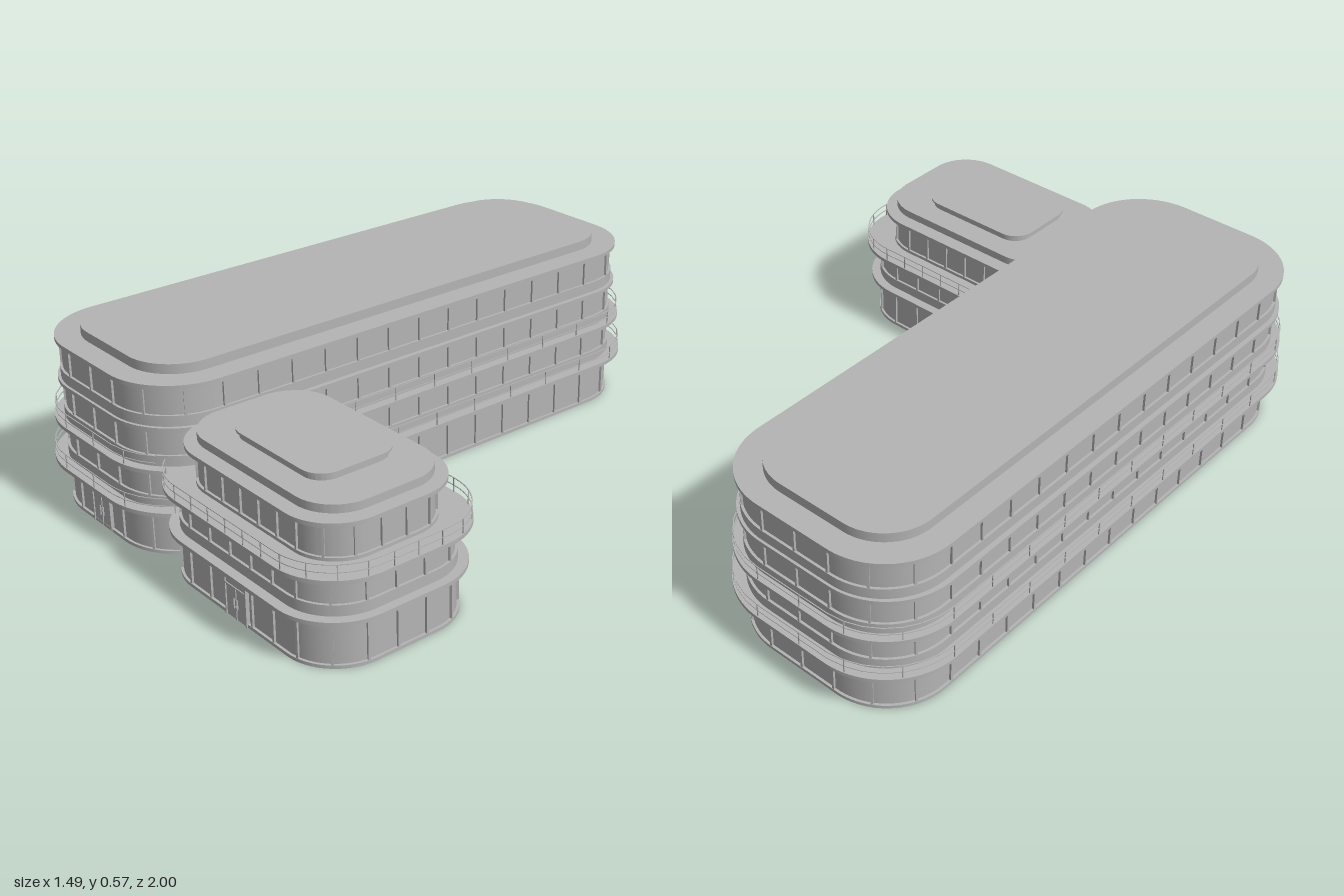
import * as THREE from 'three';
import { toCreasedNormals } from 'three/addons/utils/BufferGeometryUtils.js';

const concrete = new THREE.MeshStandardMaterial({ color: 0xb4b4b4 });
concrete.name = 'grey concrete';

// Rounded rectangle, given as half sizes and corner radius
function outline(a, b, r, PathType = THREE.Shape) {
  const p = new PathType();
  p.moveTo(-a + r, -b);
  p.lineTo(a - r, -b);
  p.absarc(a - r, -b + r, r, -Math.PI / 2, 0);
  p.lineTo(a, b - r);
  p.absarc(a - r, b - r, r, 0, Math.PI / 2);
  p.lineTo(-a + r, b);
  p.absarc(-a + r, b - r, r, Math.PI / 2, Math.PI);
  p.lineTo(-a, -b + r);
  p.absarc(-a + r, -b + r, r, Math.PI, Math.PI * 1.5);
  return p;
}

// Solid rounded block from y0 to y1
function block(group, name, [a, b, r], y0, y1) {
  let g = new THREE.ExtrudeGeometry(outline(a, b, r), { depth: y1 - y0, bevelEnabled: false, curveSegments: 12 });
  g.rotateX(-Math.PI / 2);
  g = toCreasedNormals(g, 0.4);
  const m = new THREE.Mesh(g, concrete);
  m.name = name;
  m.position.y = y0;
  group.add(m);
}

function box(group, name, w, h, d, x, y, z, turn = 0) {
  const m = new THREE.Mesh(new THREE.BoxGeometry(w, h, d), concrete);
  m.name = name;
  m.position.set(x, y, z);
  m.rotation.y = turn;
  group.add(m);
}

const inset = ([a, b, r], d) => [a - d, b - d, r - d];

// Evenly spaced points round an outline, with the wall direction at each
function walk(size, count) {
  const path = outline(...size);
  return Array.from({ length: count }, (_, i) => {
    const p = path.getPointAt(i / count), t = path.getTangentAt(i / count);
    return { x: p.x, z: -p.y, turn: Math.atan2(t.y, t.x) };
  });
}

// Floor slab with a slightly recessed soffit
function slab(group, size, y0, y1) {
  block(group, 'slab', size, y0 + 0.005, y1);
  block(group, 'soffit', inset(size, 0.006), y0, y0 + 0.005);
}

// One storey: glazed wall, sill and head bands, mullions
function storey(group, size, y0, y1, sill, bays) {
  block(group, 'wall', inset(size, 0.008), y0, y1);
  block(group, 'sillBand', size, y0, y0 + sill);
  block(group, 'headBand', inset(size, 0.003), y1 - 0.008, y1);
  for (const p of walk(inset(size, 0.006), bays))
    box(group, 'mullion', 0.007, y1 - y0, 0.01, p.x, (y0 + y1) / 2, p.z, p.turn);
}

// Open railing, left out where the other building stands
function railing(group, size, y, blocked) {
  const n = 96, h = 0.045, pts = walk(inset(size, 0.004), n);
  pts.forEach((p, i) => {
    const q = pts[(i + 1) % n];
    if (blocked(p.x + group.position.x, p.z + group.position.z)) return;
    if (i % 3 === 0) box(group, 'railPost', 0.003, h, 0.003, p.x, y + h / 2, p.z, p.turn);
    if (blocked(q.x + group.position.x, q.z + group.position.z)) return;
    const dx = q.x - p.x, dz = q.z - p.z, len = Math.hypot(dx, dz);
    for (const k of [0.5, 1])
      box(group, 'handrail', len, 0.002, 0.003, (p.x + q.x) / 2, y + h * k - 0.001, (p.z + q.z) / 2, Math.atan2(-dz, dx));
  });
}

// Double door with frame, transom and handles
function door(group, x, z) {
  const w = 0.095, h = 0.12;
  const d = new THREE.Group();
  d.name = 'door';
  d.position.set(x, 0, z);
  box(d, 'doorLeaves', w, h, 0.006, 0, h / 2, 0);
  for (const s of [-1, 1]) {
    box(d, 'doorJamb', 0.005, h, 0.014, s * w / 2, h / 2, 0);
    box(d, 'doorHandle', 0.002, 0.03, 0.01, s * 0.007, 0.05, 0.003);
  }
  box(d, 'doorStile', 0.004, 0.1, 0.012, 0, 0.05, 0);
  box(d, 'transom', w, 0.004, 0.012, 0, 0.1, 0);
  box(d, 'lintel', w, 0.005, 0.014, 0, h, 0);
  group.add(d);
}

export function createModel() {
  const model = new THREE.Group();
  model.name = 'officeBuilding';

  // Long four-storey block
  const main = new THREE.Group();
  main.name = 'mainBlock';
  main.position.set(-0.37, 0, 0);
  const mainWall = [0.335, 0.96, 0.21];
  const mainSlabs = [[0.375, 1.0, 0.25], [0.366, 0.988, 0.24], [0.351, 0.968, 0.225], [0.348, 0.968, 0.222]];
  const mainTops = [0.155, 0.285, 0.41, 0.54];
  mainSlabs.forEach((size, i) => {
    const base = i ? mainTops[i - 1] : 0;
    storey(main, mainWall, base, mainTops[i] - 0.015, i ? 0.033 : 0.01, 40);
    slab(main, size, mainTops[i] - 0.017, mainTops[i]);
  });
  block(main, 'roofCap', [0.273, 0.895, 0.16], 0.54, 0.57);
  door(main, 0, 0.956);
  model.add(main);

  // Low three-storey wing
  const wing = new THREE.Group();
  wing.name = 'sideWing';
  wing.position.set(0.315, 0, 0.68);
  const wingWalls = [[0.395, 0.272, 0.17], [0.39, 0.268, 0.168], [0.345, 0.222, 0.14]];
  const wingSlabs = [[0.418, 0.298, 0.195], [0.43, 0.305, 0.2], [0.368, 0.248, 0.16]];
  const wingTops = [0.155, 0.285, 0.41];
  wingSlabs.forEach((size, i) => {
    const base = i ? wingTops[i - 1] : 0;
    storey(wing, wingWalls[i], base, wingTops[i] - 0.015, i === 1 ? 0.033 : 0.01, 24);
    slab(wing, size, wingTops[i] - 0.017, wingTops[i]);
  });
  block(wing, 'roofCore', [0.2, 0.13, 0.06], 0.41, 0.42);
  block(wing, 'roofTier', [0.335, 0.212, 0.13], 0.419, 0.444);
  block(wing, 'roofCap', [0.198, 0.133, 0.063], 0.444, 0.462);
  block(wing, 'roofCapLid', [0.207, 0.142, 0.07], 0.462, 0.469);
  door(wing, 0, 0.269);
  model.add(wing);

  // Balcony railings
  const inWing = (x, z) => x > -0.06 && z > 0.39 && z < 0.9;
  const inMain = (x, z) => x < -0.01 && z < 0.9;
  railing(main, mainSlabs[0], 0.155, inWing);
  railing(main, mainSlabs[1], 0.285, inWing);
  railing(wing, wingSlabs[1], 0.285, inMain);

  return model;
}
